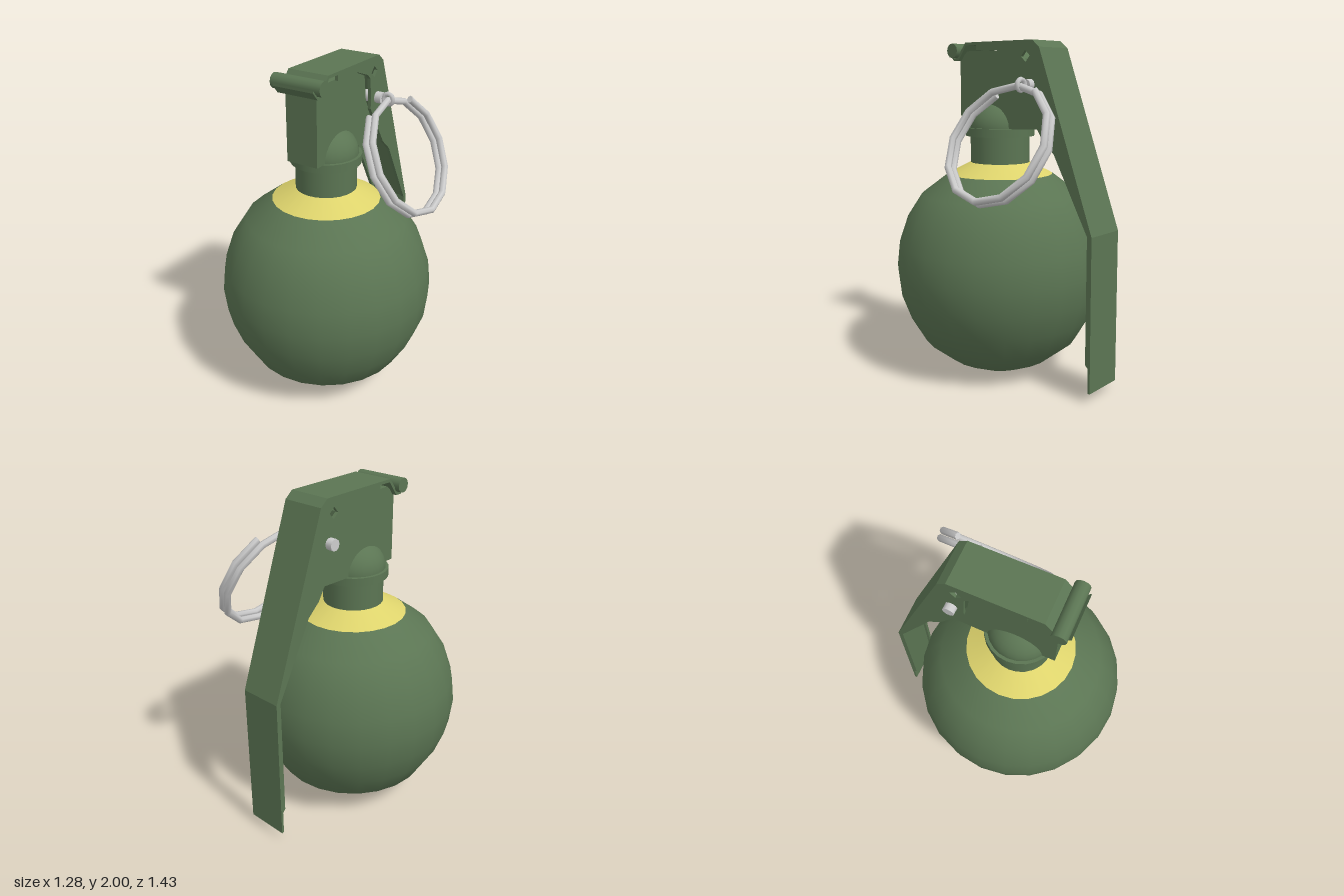
import * as THREE from 'three';

const GREEN = 0x5b7553, YELLOW = 0xddd36c, GREY = 0xcccccc;
const AXIS_Z = 0.075; // z of the body axis

function material(color, extra = {}) {
  return new THREE.MeshStandardMaterial({ color, ...extra });
}

export function createModel() {
  const root = new THREE.Group();
  const green = material(GREEN, { side: THREE.DoubleSide });
  const greenFlat = material(GREEN, { flatShading: true });
  const yellow = material(YELLOW, { side: THREE.DoubleSide });
  const grey = material(GREY, { side: THREE.DoubleSide });

  const add = (name, geometry, mat, x = 0, y = 0, z = 0) => {
    const mesh = new THREE.Mesh(geometry, mat);
    mesh.name = name;
    mesh.position.set(x, y, z);
    root.add(mesh);
    return mesh;
  };
  const vectors = (pts) => pts.map(([a, b]) => new THREE.Vector2(a, b));
  const lathe = (pts) => new THREE.LatheGeometry(vectors(pts), 24);

  // Side outline given as [z, y], extruded across x from x0 to x1
  const slab = (pts, x0, x1, hole) => {
    const shape = new THREE.Shape(vectors(pts));
    if (hole) shape.holes.push(new THREE.Path(vectors(hole)));
    const g = new THREE.ExtrudeGeometry(shape, { depth: x1 - x0, bevelEnabled: false });
    return g.rotateY(-Math.PI / 2).translate(x1, 0, 0);
  };

  // Round body with flat base and painted band
  add('body', lathe([
    [0.18, 0], [0.33, 0.07], [0.48, 0.19], [0.57, 0.345], [0.625, 0.495], [0.642, 0.65],
    [0.625, 0.80], [0.57, 0.96], [0.48, 1.10], [0.32, 1.22],
  ]), green, 0, 0, AXIS_Z);
  add('base', new THREE.CircleGeometry(0.18, 24).rotateX(Math.PI / 2), green, 0, 0.001, AXIS_Z);
  add('paintedBand', lathe([[0.32, 1.22], [0.18, 1.29]]), yellow, 0, 0, AXIS_Z);

  // Neck, collar and dome
  add('neck', new THREE.CylinderGeometry(0.18, 0.18, 0.18, 24), green, 0, 1.37, AXIS_Z);
  add('collar', new THREE.CylinderGeometry(0.208, 0.208, 0.05, 24), green, 0, 1.475, AXIS_Z);
  add('dome', new THREE.SphereGeometry(0.19, 24, 8, 0, Math.PI * 2, 0, Math.PI / 2)
    .scale(1, 0.86, 1), green, 0, 1.5, AXIS_Z);

  // Fuse block
  add('fuseBlock', slab([
    [0.31, 1.5], [0.31, 1.9], [0.25, 1.95], [-0.05, 1.95], [-0.17, 1.9],
    [-0.19, 1.75], [-0.33, 1.51], [-0.12, 1.5],
  ], -0.1, 0.1), greenFlat);

  // Safety lever: bent plate with a cupped front lip
  add('leverPlate', slab([
    [0.24, 2], [-0.28, 2], [-0.33, 1.96], [-0.705, 0.95], [-0.715, 0.055],
    [-0.70, 0.055], [-0.69, 0.95], [-0.316, 1.95], [-0.274, 1.982], [0.235, 1.982],
    [0.30, 1.895], [0.34, 1.895], [0.38, 1.94], [0.38, 1.955], [0.34, 1.91], [0.31, 1.91],
  ], -0.128, 0.128), greenFlat);

  // Lever side flanges, mirrored, with a see-through diamond
  const flange = [
    [0.15, 1.99], [-0.277, 1.99], [-0.322, 1.955], [-0.698, 0.95], [-0.71, 0.2],
    [-0.70, 0.2], [-0.68, 0.22], [-0.675, 0.95], [-0.62, 1.05], [-0.44, 1.38],
    [-0.36, 1.45], [-0.2, 1.7], [-0.2, 1.76], [-0.19, 1.88], [-0.16, 1.91],
    [-0.05, 1.95], [0.15, 1.95],
  ];
  const diamond = [[-0.2, 1.91], [-0.235, 1.88], [-0.265, 1.915], [-0.23, 1.945]];
  for (const [name, x] of [['leftFlange', 0.108], ['rightFlange', -0.128]]) {
    add(name, slab(flange, x, x + 0.02, diamond), greenFlat);
  }

  // Hinge roller held in the lip
  add('hingeRoller', new THREE.CylinderGeometry(0.043, 0.043, 0.316, 12).rotateZ(Math.PI / 2),
    green, 0, 1.953, 0.323);

  // Safety pin with a small eye
  add('safetyPin', new THREE.CylinderGeometry(0.034, 0.034, 0.335, 10).rotateZ(Math.PI / 2),
    grey, 0.0, 1.755, -0.268);
  add('pinEye', new THREE.TorusGeometry(0.03, 0.015, 6, 12), grey, 0.205, 1.755, -0.268);

  // Pull ring: a faceted coil of nearly two turns, tilted outwards
  const down = new THREE.Vector3(0.45, -0.893, 0);
  const normal = new THREE.Vector3(0.893, 0.45, 0);
  const centre = new THREE.Vector3(0.365, 1.443, -0.243);
  class Coil extends THREE.Curve {
    getPoint(u, target = new THREE.Vector3()) {
      const t = 0.5 + u * 11.53;
      target.copy(centre)
        .addScaledVector(down, -0.345 * Math.cos(t))
        .addScaledVector(normal, (u - 0.5) * 0.08);
      target.z += 0.345 * Math.sin(t);
      return target;
    }
  }
  const coil = new Coil();
  add('pullRing', new THREE.TubeGeometry(coil, 22, 0.021, 7), grey);
  for (const [u, sign] of [[0, -1], [1, 1]]) {
    const end = coil.getPointAt(u);
    const cap = add('ringEnd', new THREE.CircleGeometry(0.021, 7), grey, end.x, end.y, end.z);
    cap.lookAt(end.clone().addScaledVector(coil.getTangentAt(u), sign));
  }

  return root;
}
